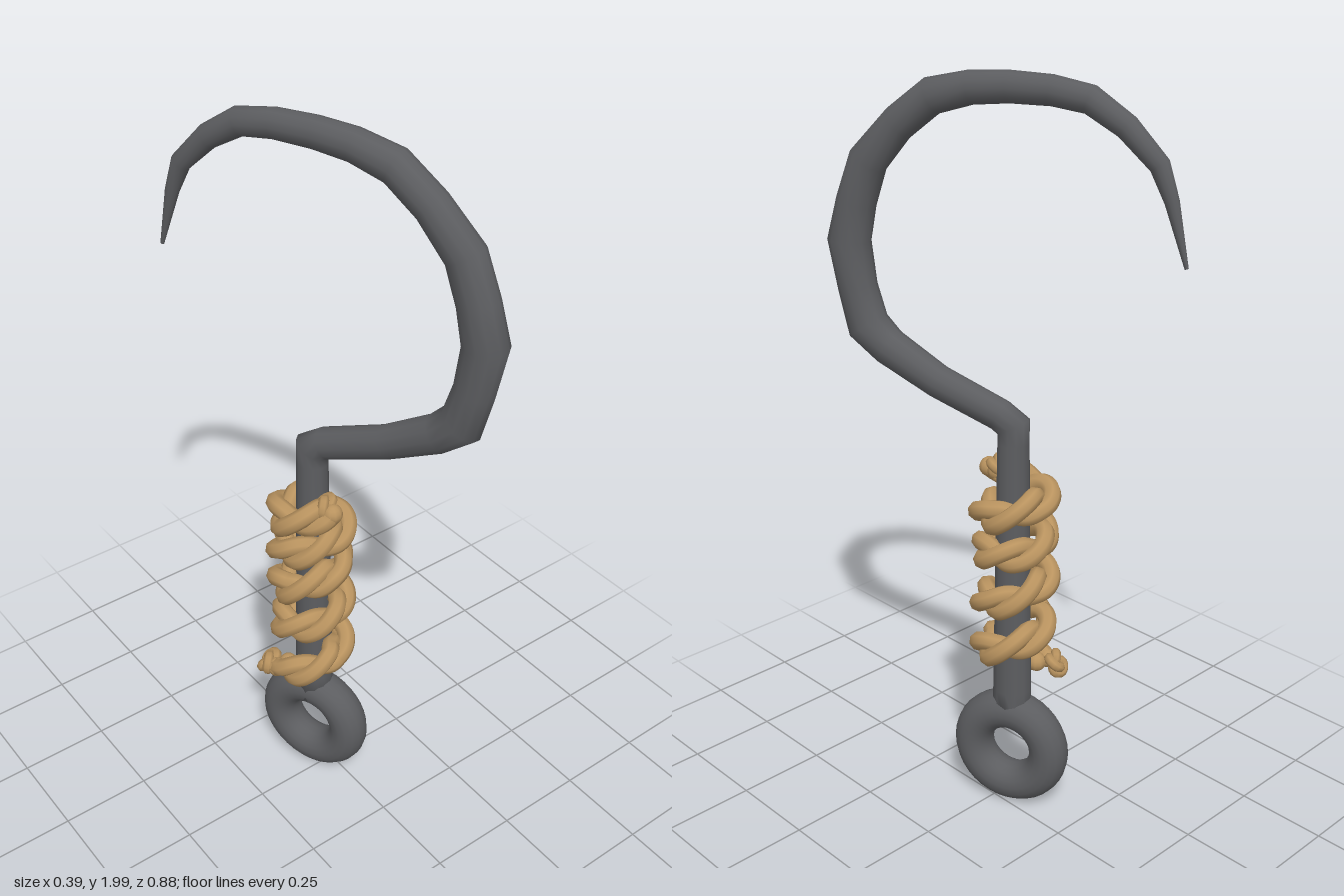
import * as THREE from 'three';

const iron = new THREE.MeshStandardMaterial({ color: 0x5c5d60 });
iron.name = 'dark iron';
const cord = new THREE.MeshStandardMaterial({ color: 0xb9935f });
cord.name = 'tan rope';

const CENTRE = -0.035;                  // shaft axis in x and z
const SLOPE = 0.4;                      // the hook lies in the plane x = SLOPE * z + offset
const planeX = z => -0.02 + SLOPE * z;

// Sweeps a round section along a planar path of [z, y, radius], closed at both ends
function sweepInPlane(path, sides) {
  const centres = path.map(([z, y]) => new THREE.Vector3(planeX(z), y, z));
  const normal = new THREE.Vector3(1, 0, -SLOPE).normalize();
  const pos = [], idx = [];
  centres.forEach((c, i) => {
    const a = centres[Math.max(i - 1, 0)], b = centres[Math.min(i + 1, centres.length - 1)];
    const tIn = c.clone().sub(a).normalize(), tOut = b.clone().sub(c).normalize();
    const tangent = tIn.clone().add(tOut).normalize();
    const across = new THREE.Vector3().crossVectors(tangent, normal);
    // widen the section at a mitred bend
    const seg = i > 0 ? tIn : tOut;
    const mitre = Math.min(1.35, 1 / Math.max(0.3, seg.dot(tangent)));
    for (let j = 0; j < sides; j++) {
      const t = j / sides * Math.PI * 2, r = path[i][2];
      const p = c.clone().addScaledVector(normal, Math.cos(t) * r * 0.92)
        .addScaledVector(across, Math.sin(t) * r * mitre);
      pos.push(p.x, p.y, p.z);
    }
  });
  for (let i = 0; i < path.length - 1; i++) {
    for (let j = 0; j < sides; j++) {
      const k = (j + 1) % sides;
      const a = i * sides + j, b = i * sides + k, c = a + sides, d = b + sides;
      idx.push(a, c, b, b, c, d);
    }
  }
  const last = (path.length - 1) * sides;
  for (let j = 1; j < sides - 1; j++) {
    idx.push(0, j, j + 1, last, last + j + 1, last + j);
  }
  const geo = new THREE.BufferGeometry();
  geo.setAttribute('position', new THREE.Float32BufferAttribute(pos, 3));
  // make the winding face outward whatever the frame's handedness
  const v = i => new THREE.Vector3().fromArray(pos, i * 3);
  const n = v(idx[1]).sub(v(idx[0])).cross(v(idx[2]).sub(v(idx[0])));
  if (n.dot(v(idx[0]).sub(centres[0])) < 0) idx.reverse();
  geo.setIndex(idx);
  geo.computeVertexNormals();
  return geo;
}

export function createModel() {
  const model = new THREE.Group();
  model.name = 'ropeWrappedHook';
  const add = (geo, mat, name, parent = model) => {
    const mesh = new THREE.Mesh(geo, mat);
    mesh.name = name;
    parent.add(mesh);
    return mesh;
  };

  // Shaft and hook in one tapering bar
  add(sweepInPlane([
    [CENTRE, 0.27, 0.055], [CENTRE, 0.36, 0.053], [CENTRE, 0.7, 0.048], [CENTRE, 1.08, 0.042],
    [-0.035, 1.125, 0.042], [0.0, 1.15, 0.042],
    [0.16, 1.215, 0.044], [0.29, 1.29, 0.05], [0.345, 1.34, 0.055],
    [0.37, 1.44, 0.052], [0.388, 1.56, 0.056], [0.365, 1.66, 0.052], [0.33, 1.765, 0.05],
    [0.25, 1.86, 0.045], [0.165, 1.93, 0.044], [0.07, 1.955, 0.04], [-0.02, 1.962, 0.038],
    [-0.12, 1.96, 0.036], [-0.207, 1.945, 0.034], [-0.29, 1.89, 0.03],
    [-0.365, 1.81, 0.025], [-0.395, 1.73, 0.018], [-0.434, 1.58, 0.005],
  ], 12), iron, 'hookAndShaft');

  // Eye ring at the foot
  const ring = add(new THREE.TorusGeometry(0.112, 0.054, 16, 36), iron, 'eyeRing');
  ring.rotation.y = Math.PI / 2 + Math.atan(SLOPE);
  ring.position.set(-0.032, 0.175, CENTRE);
  ring.scale.y = 1.02;

  // Rope: quarter turns down the shaft, in the order +z, -x, -z, +x
  const levels = [0.98, 0.93, 0.93, 0.89, 0.88, 0.83, 0.805, 0.78, 0.77, 0.705, 0.69,
    0.64, 0.62, 0.57, 0.55, 0.5, 0.475, 0.415, 0.405];
  const corePoints = levels.map((y, i) => {
    const a = i * Math.PI / 2, r = i > 16 ? 0.093 : 0.08;
    return new THREE.Vector3(-0.045 - Math.sin(a) * r, y, CENTRE + 0.005 + Math.cos(a) * r);
  });
  // fill in the round between quarter turns
  const core = [];
  for (let i = 0; i < corePoints.length - 1; i++) {
    for (let s = 0; s < 6; s++) {
      const f = s / 6, a = (i + f) * Math.PI / 2, r = i > 15 ? 0.088 : 0.08;
      core.push(new THREE.Vector3(-0.045 - Math.sin(a) * r,
        THREE.MathUtils.lerp(levels[i], levels[i + 1], f), CENTRE + 0.005 + Math.cos(a) * r));
    }
  }
  // keep a short loose tail at the bottom
  core.splice(core.length - 4, 4);

  const rope = new THREE.Group();
  rope.name = 'rope';
  model.add(rope);

  // Two strands twisted about the rope's core
  const coreCurve = new THREE.CatmullRomCurve3(core);
  const steps = 200, twists = 10;
  const up = new THREE.Vector3(0, 1, 0);
  [0, Math.PI].forEach((phase, k) => {
    const points = [];
    for (let i = 0; i <= steps; i++) {
      const u = i / steps, a = u * twists * Math.PI * 2 + phase;
      const p = coreCurve.getPointAt(u);
      const out = new THREE.Vector3().crossVectors(coreCurve.getTangentAt(u), up).normalize();
      points.push(p.addScaledVector(out, Math.cos(a) * 0.018).addScaledVector(up, Math.sin(a) * 0.022));
    }
    const name = k ? 'secondStrand' : 'firstStrand';
    add(new THREE.TubeGeometry(new THREE.CatmullRomCurve3(points), 420, 0.025, 8), cord, name, rope);
    // rounded strand ends
    [points[0], points[steps]].forEach(p => {
      add(new THREE.SphereGeometry(0.027, 10, 8), cord, name + 'End', rope).position.copy(p);
    });
  });

  // Knots at the two rope ends
  [[-0.05, 0.985, 0.035], [-0.15, 0.41, -0.09]].forEach(([x, y, z]) => {
    const knot = add(new THREE.TorusKnotGeometry(0.02, 0.014, 40, 7), cord, 'endKnot', rope);
    knot.position.set(x, y, z);
    knot.rotation.set(0.6, 0.5, 0.3);
  });

  return model;
}
